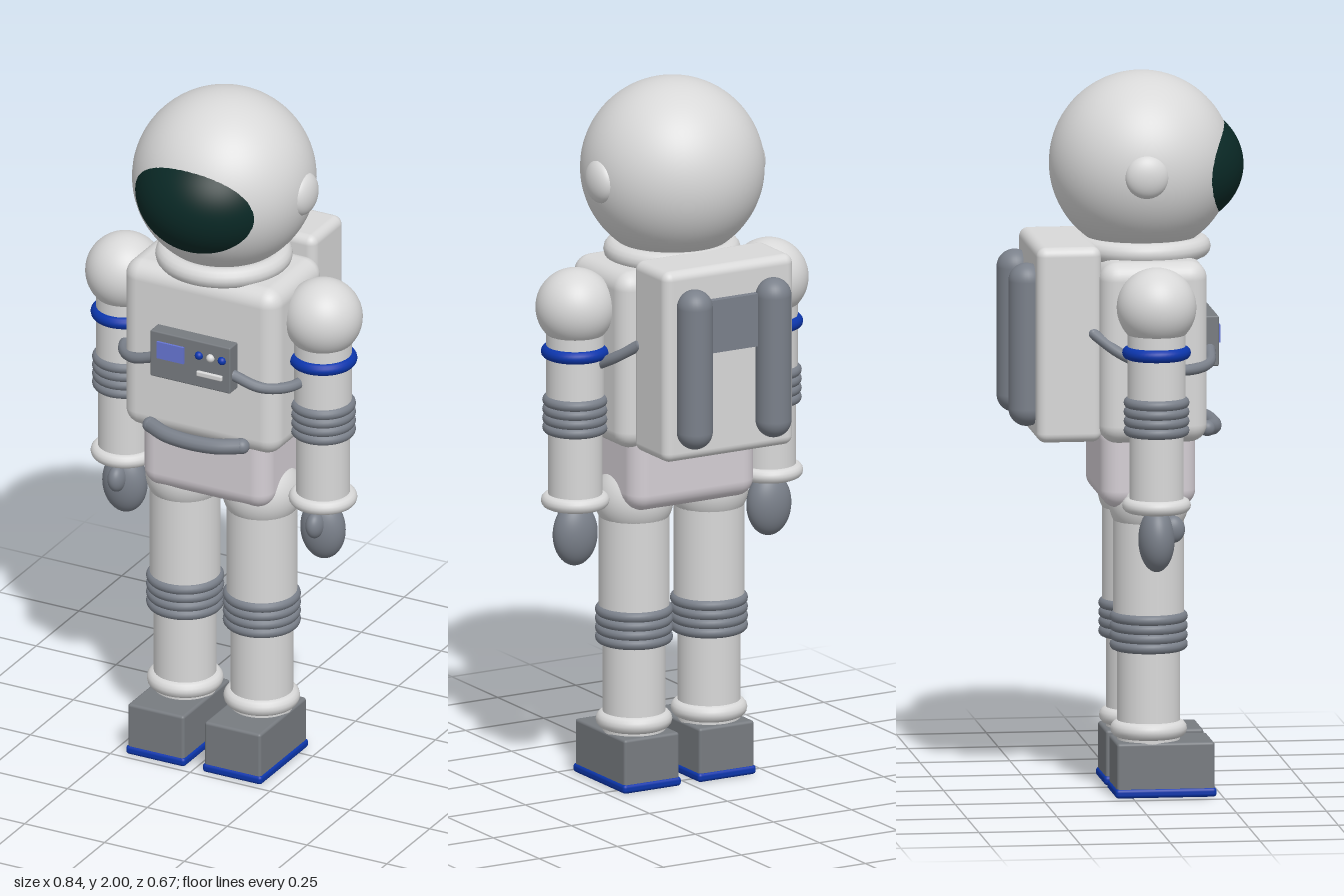
import * as THREE from 'three';
import { RoundedBoxGeometry } from 'three/addons/geometries/RoundedBoxGeometry.js';

export function createModel() {
  const root = new THREE.Group();
  root.name = 'astronaut';
  const mat = (name, color) => {
    const m = new THREE.MeshStandardMaterial({ color });
    m.name = name;
    return m;
  };
  const white = mat('suit white', 0xd8d8d8);
  const pelvisWhite = mat('pelvis white', 0xd4ced4);
  const rubber = mat('rubber grey', 0x7a808a);
  const metal = mat('boot grey', 0x777b80);
  const blue = mat('trim blue', 0x0c36ac);
  const glass = mat('visor glass', 0x0a2926);
  const display = mat('display blue', 0x6675d2);

  const add = (parent, name, geometry, material, x, y, z) => {
    const mesh = new THREE.Mesh(geometry, material);
    mesh.name = name;
    mesh.position.set(x, y, z);
    parent.add(mesh);
    return mesh;
  };
  const ball = (rx, ry = rx, rz = rx) => new THREE.SphereGeometry(1, 48, 32).scale(rx, ry, rz);
  const ring = (outer, tube) => new THREE.TorusGeometry(outer - tube, tube, 14, 48).rotateX(Math.PI / 2);
  const box = (w, h, d, r) => new RoundedBoxGeometry(w, h, d, 4, r);
  const tube = (r, y0, y1) => new THREE.CylinderGeometry(r, r, y1 - y0, 40).translate(0, (y0 + y1) / 2, 0);
  const group = (name) => {
    const g = new THREE.Group();
    g.name = name;
    root.add(g);
    return g;
  };
  // Bendable hose with rounded ends
  const hose = (parent, name, points, r) => {
    const pts = points.map((p) => new THREE.Vector3(...p));
    add(parent, name, new THREE.TubeGeometry(new THREE.CatmullRomCurve3(pts), 40, r, 12), rubber, 0, 0, 0);
    for (const p of [pts[0], pts[pts.length - 1]]) add(parent, name + 'End', ball(r), rubber, p.x, p.y, p.z);
  };
  // Stack of four bellows rings for a joint
  const bellows = (parent, name, outer, y) => {
    for (let i = 0; i < 4; i++) add(parent, name, ring(outer, 0.0155), rubber, 0, y + (i - 1.5) * 0.026, 0);
  };

  // Helmet
  const helmet = group('helmet');
  add(helmet, 'helmetShell', new THREE.SphereGeometry(0.255, 64, 48), white, 0, 1.745, 0.05);
  add(helmet, 'visor', new THREE.SphereGeometry(1, 96, 64).scale(0.213, 0.18, 0.213), glass, 0, 1.738, 0.12);
  for (const s of [-1, 1]) add(helmet, 'earCap', ball(0.034, 0.061, 0.061), white, s * 0.24, 1.74, 0.035);
  add(helmet, 'neckRing', ring(0.19, 0.03), white, 0, 1.512, 0.052);

  // Torso and pelvis
  const body = group('body');
  add(body, 'torso', box(0.486, 0.505, 0.3, 0.05), white, 0, 1.245, 0.057);
  add(body, 'pelvis', box(0.4, 0.24, 0.265, 0.05), pelvisWhite, 0, 0.925, 0.048);
  hose(body, 'beltHose', [[-0.143, 1.02, 0.215], [-0.08, 1.015, 0.24], [0, 1.013, 0.248], [0.08, 1.015, 0.24], [0.143, 1.02, 0.215]], 0.022);

  // Chest control panel
  const panel = group('chestPanel');
  add(panel, 'panelBox', box(0.25, 0.14, 0.06, 0.004), metal, 0, 1.26, 0.22);
  add(panel, 'screen', new THREE.BoxGeometry(0.084, 0.05, 0.008), display, -0.06, 1.277, 0.253);
  [blue, white, blue].forEach((m, i) =>
    add(panel, 'knob', ball(0.012), m, 0.028 + i * 0.036, 1.287, 0.25));
  add(panel, 'switchBar', box(0.08, 0.016, 0.016, 0.004), white, 0.062, 1.233, 0.25);

  // Backpack with two tanks and a bridge
  const pack = group('backpack');
  add(pack, 'packCase', box(0.416, 0.545, 0.18, 0.026), white, 0, 1.268, -0.176);
  add(pack, 'tankBridge', new THREE.BoxGeometry(0.2, 0.15, 0.04), rubber, 0, 1.375, -0.266);

  for (const s of [-1, 1]) {
    add(pack, 'tank', new THREE.CapsuleGeometry(0.05, 0.355, 12, 32), rubber, s * 0.126, 1.262, -0.286);
    hose(pack, 'airHose', [[s * 0.12, 1.238, 0.225], [s * 0.2, 1.212, 0.212], [s * 0.262, 1.203, 0.15],
      [s * 0.277, 1.212, 0.05], [s * 0.25, 1.25, -0.04], [s * 0.2, 1.3, -0.11]], 0.0155);

    // Arm
    const arm = group(s > 0 ? 'leftArm' : 'rightArm');
    arm.position.set(s * 0.31, 0, 0.052);
    add(arm, 'shoulder', ball(0.11), white, 0, 1.387, 0);
    add(arm, 'upperArm', tube(0.08, 1.08, 1.38), white, 0, 0, 0);
    add(arm, 'armBand', ring(0.095, 0.018), blue, 0, 1.261, 0);
    bellows(arm, 'elbowRing', 0.091, 1.083);
    add(arm, 'forearm', tube(0.075, 0.82, 1.08), white, 0, 0, 0);
    add(arm, 'cuff', ring(0.095, 0.02), white, 0, 0.835, 0);
    add(arm, 'glove', ball(0.066, 0.09, 0.05), rubber, 0, 0.738, 0);
    add(arm, 'thumb', ball(0.025, 0.038, 0.033), rubber, 0, 0.766, 0.046);

    // Leg
    const leg = group(s > 0 ? 'leftLeg' : 'rightLeg');
    leg.position.set(s * 0.12, 0, 0.055);
    add(leg, 'hip', ball(0.11), white, 0, 0.815, 0);
    add(leg, 'thigh', tube(0.098, 0.45, 0.82), white, 0, 0, 0);
    bellows(leg, 'kneeRing', 0.108, 0.457);
    add(leg, 'shin', tube(0.087, 0.13, 0.46), white, 0, 0, 0);
    add(leg, 'ankleRing', ring(0.106, 0.024), white, 0, 0.183, 0);
    add(leg, 'boot', box(0.176, 0.138, 0.272, 0.008), metal, 0, 0.084, 0.037);
    add(leg, 'sole', box(0.186, 0.026, 0.282, 0.01), blue, 0, 0.013, 0.037);
  }
  return root;
}
